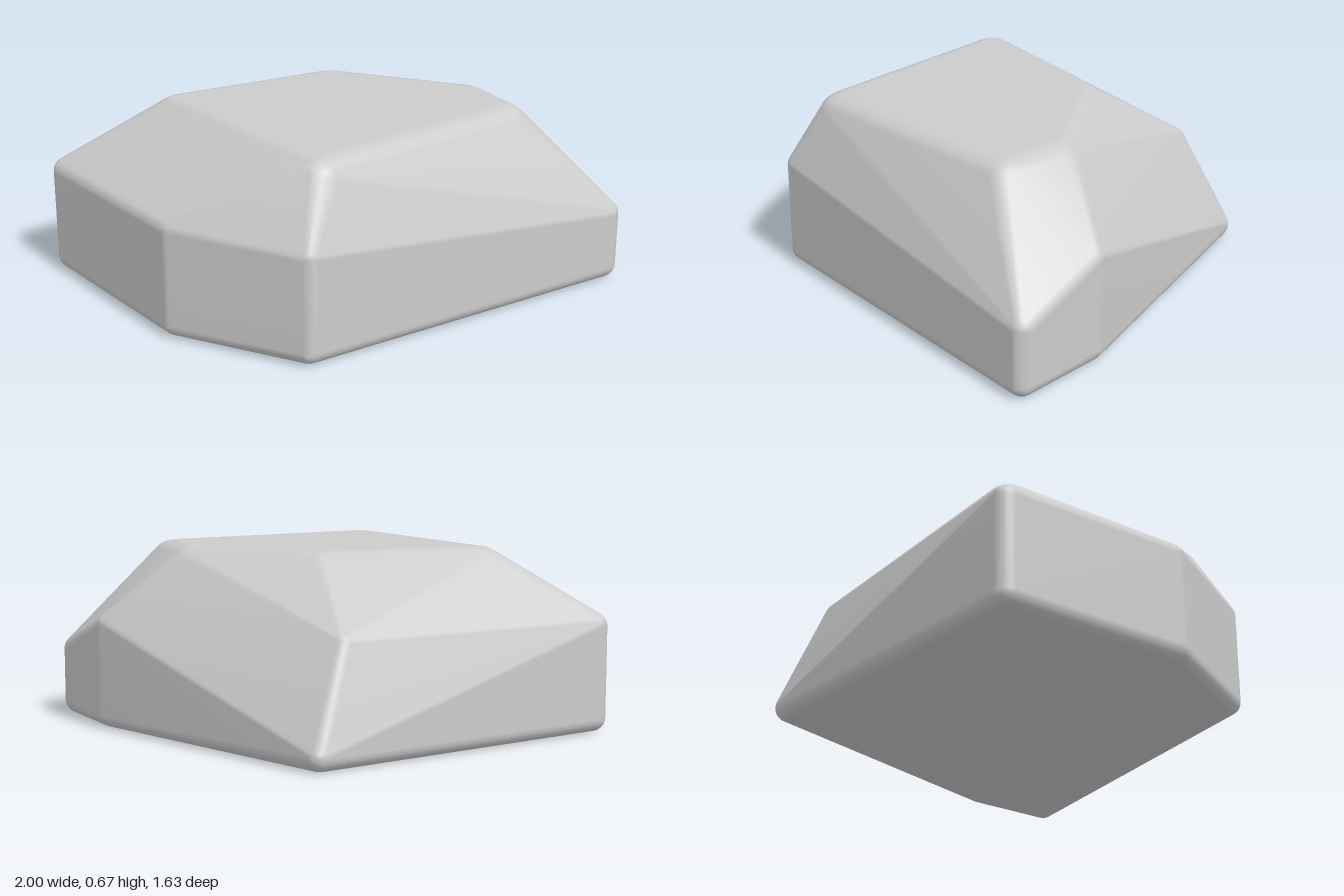
import * as THREE from 'three';
import { ConvexGeometry } from 'three/addons/geometries/ConvexGeometry.js';
import { mergeVertices } from 'three/addons/utils/BufferGeometryUtils.js';

const EDGE = 0.05; // rounding of walls and base
const CROWN = 0.1; // softer rounding of the flat top

// wall corners: x, z, height of the shoulder rounding centre
const walls = [
  [-0.95, -0.125, 0.385],
  [-0.62, 0.48, 0.39],
  [-0.21, 0.76, 0.385],
  [0.95, 0.28, 0.25],
  [0.795, 0.0, 0.375],
];

// corners of the flat top: x, z
const top = [[-0.54, -0.06], [-0.15, 0.6], [0.57, 0.22], [0.49, 0.02], [0.03, -0.23]];

// distinct points of a small ball around a rounded corner
function ball(x, y, z, r) {
  const pos = new THREE.IcosahedronGeometry(r, 3).getAttribute('position');
  const seen = new Map();
  for (let i = 0; i < pos.count; i++) {
    const p = new THREE.Vector3().fromBufferAttribute(pos, i);
    const key = p.toArray().map((v) => Math.round(v * 1e4)).join();
    if (!seen.has(key)) seen.set(key, p.add(new THREE.Vector3(x, y, z)));
  }
  return [...seen.values()];
}

export function createModel() {
  const points = [];

  // upright corners run from the base to the shoulder
  for (const [x, z, y] of walls) {
    points.push(...ball(x, EDGE, z, EDGE), ...ball(x, y, z, EDGE));
  }

  // the back corner leans inwards
  points.push(...ball(0.05, EDGE, -0.77, EDGE), ...ball(-0.03, 0.385, -0.61, EDGE));

  // flat top
  for (const [x, z] of top) points.push(...ball(x, 0.57, z, CROWN));

  // wrap the rounded corners in one smooth skin
  let geometry = new ConvexGeometry(points);
  geometry.deleteAttribute('normal');
  geometry = mergeVertices(geometry, 1e-4);
  geometry.computeVertexNormals();

  const rock = new THREE.Mesh(geometry, new THREE.MeshStandardMaterial({ color: 0xcccccc }));
  rock.name = 'rock';
  const group = new THREE.Group();
  group.name = 'boulder';
  group.add(rock);
  return group;
}
